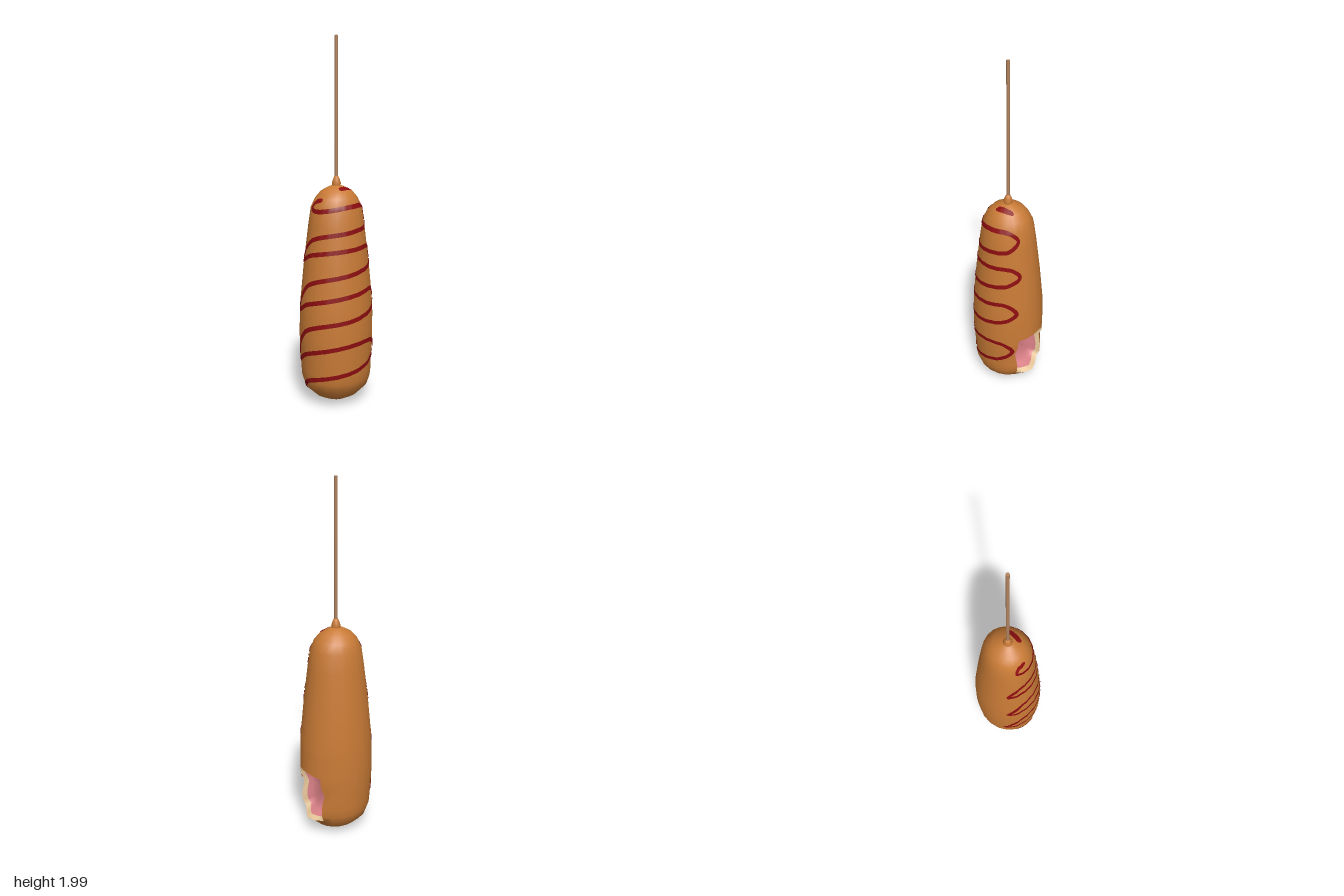
import * as THREE from 'three';

const SIDES = 20, STEP = Math.PI * 2 / SIDES, DEPTH = 0.93;

// Body profile from bottom to top: [y, radius]
const PROFILE = [
  [0.008, 0.001], [0.02, 0.065], [0.05, 0.125], [0.1, 0.178], [0.15, 0.196], [0.2, 0.2],
  [0.28, 0.205], [0.34, 0.208], [0.405, 0.21], [0.5, 0.207], [0.6, 0.202], [0.8, 0.182],
  [1.0, 0.157], [1.1, 0.142], [1.15, 0.118], [1.185, 0.088], [1.21, 0.04], [1.222, 0.001],
];
// Bite opening, as profile rows and side columns
const ROW0 = 3, ROW1 = 8, COL0 = 3, COL1 = 7;

const material = (name, color, side = THREE.FrontSide) => {
  const m = new THREE.MeshStandardMaterial({ color, side });
  m.name = name;
  return m;
};

function meshFrom(name, points, index, mat) {
  const g = new THREE.BufferGeometry().setFromPoints(points);
  g.setIndex(index);
  g.computeVertexNormals();
  const mesh = new THREE.Mesh(g, mat);
  mesh.name = name;
  return mesh;
}

const around = (a, y, r) => new THREE.Vector3(Math.sin(a) * r, y, Math.cos(a) * r * DEPTH);

function radiusAt(y) {
  for (let i = 1; i < PROFILE.length; i++) {
    const [y0, r0] = PROFILE[i - 1], [y1, r1] = PROFILE[i];
    if (y <= y1) return r0 + (r1 - r0) * Math.max(0, (y - y0) / (y1 - y0));
  }
  return 0;
}

// Point just above the many-sided body
function onBody(a, y, lift) {
  const phase = a - Math.floor(a / STEP) * STEP - STEP / 2;
  return around(a, y, radiusAt(y) * Math.cos(STEP / 2) / Math.cos(phase) + lift);
}

// Body vertex, with the edge of the bite made uneven
function bodyPoint(row, col) {
  const [y, r] = PROFILE[row];
  const p = around(col * STEP, y, r);
  const sideEdge = col === COL0 || col === COL1;
  if (sideEdge && row === 6) p.x -= 0.02;
  if (sideEdge && row === ROW1) { p.y -= 0.012; p.z *= 0.94; }
  if (sideEdge && row === ROW0) p.y += 0.015;
  if (col === 5 && row === ROW0) p.x += 0.012;
  if (col === 5 && row === ROW1) p.y += 0.006;
  return p;
}

function buildBody(mat) {
  const points = [], index = [];
  PROFILE.forEach((_, row) => {
    for (let c = 0; c < SIDES; c++) points.push(bodyPoint(row, c));
  });
  for (let row = 0; row < PROFILE.length - 1; row++) {
    for (let c = 0; c < SIDES; c++) {
      if (row >= ROW0 && row < ROW1 && c >= COL0 && c < COL1) continue;
      const n = (c + 1) % SIDES;
      const a = row * SIDES + c, b = row * SIDES + n;
      index.push(a, b, b + SIDES, a, b + SIDES, a + SIDES);
    }
  }
  return meshFrom('batterBody', points, index, mat);
}

// Outline of the bite, counter-clockwise seen from +x
function biteOutline() {
  const loop = [];
  for (let c = COL1; c > COL0; c--) loop.push(bodyPoint(ROW0, c));
  for (let r = ROW0; r < ROW1; r++) loop.push(bodyPoint(r, COL0));
  for (let c = COL0; c < COL1; c++) loop.push(bodyPoint(ROW1, c));
  for (let r = ROW1; r > ROW0; r--) loop.push(bodyPoint(r, COL1));
  return loop.reverse();
}

// Surface joining a list of equal loops
function loft(name, loops, mat) {
  const n = loops[0].length, index = [];
  for (let k = 0; k < loops.length - 1; k++) {
    for (let i = 0; i < n; i++) {
      const j = (i + 1) % n, a = k * n + i, b = k * n + j;
      index.push(a, a + n, b, b, a + n, b + n);
    }
  }
  return meshFrom(name, loops.flat(), index, mat);
}

function buildBite(cream, pink) {
  const group = new THREE.Group();
  group.name = 'bite';
  const outer = biteOutline();
  const shrink = (s, depth, floor) => outer.map((p) => new THREE.Vector3(
    THREE.MathUtils.lerp(p.x - depth, 0.085, floor), 0.25 + (p.y - 0.25) * s, p.z * s));
  const lip = shrink(0.88, 0.025, 0);
  group.add(loft('batterEdge', [outer, lip], cream));
  group.add(loft('sausageInside',
    [lip, shrink(0.8, 0.03, 0.45), shrink(0.62, 0.03, 0.8), shrink(0.3, 0.03, 0.97), shrink(0.001, 0.03, 1)], pink));
  return group;
}

// Flat ribbon of sauce following [degrees from the front, height] points
function sauceRibbon(name, path, mat, width, samples) {
  const curve = new THREE.CatmullRomCurve3(
    path.map(([d, y]) => new THREE.Vector3(THREE.MathUtils.degToRad(d) * 0.19, y, 0)), false, 'centripetal');
  const points = [], index = [];
  for (let i = 0; i <= samples; i++) {
    const p = curve.getPointAt(i / samples), t = curve.getTangentAt(i / samples);
    const w = width / 2 * Math.min(1, 0.4 + Math.min(i, samples - i) * 0.3);
    for (const s of [-1, 0, 1]) {
      points.push(onBody((p.x + t.y * w * s) / 0.19, p.y - t.x * w * s, 0.003));
    }
    if (i === samples) break;
    for (let k = 0; k < 2; k++) {
      const a = i * 3 + k;
      index.push(a, a + 1, a + 3, a + 1, a + 4, a + 3);
    }
  }
  return meshFrom(name, points, index, mat);
}

export function createModel() {
  const batter = material('fried batter', 0xc97b36);
  const cream = material('batter crumb', 0xecca9c, THREE.DoubleSide);
  const pink = material('sausage pink', 0xd98086, THREE.DoubleSide);
  const sauce = material('red sauce', 0x8c0d10, THREE.DoubleSide);
  const wood = material('stick wood', 0xb38560);

  const model = new THREE.Group();
  model.name = 'friedSausageOnStick';
  model.add(buildBody(batter), buildBite(cream, pink));

  // Zigzag of sauce over the front and its short end at the top
  model.add(sauceRibbon('sauceZigzag', [
    [-75, 1.145], [-98, 1.13], [-105, 1.1], [-90, 1.085],
    [0, 1.11], [42, 1.105], [60, 1.06], [40, 1.0], [0, 0.98], [-90, 0.93],
    [-118, 0.85], [-125, 0.81], [-112, 0.82], [-90, 0.85],
    [0, 0.885], [45, 0.885], [60, 0.84], [40, 0.79], [0, 0.76], [-90, 0.69],
    [-115, 0.59], [-124, 0.54], [-112, 0.545], [-90, 0.585],
    [0, 0.645], [35, 0.655], [52, 0.6], [35, 0.55], [0, 0.515], [-90, 0.44],
    [-122, 0.29], [-130, 0.25], [-115, 0.26], [-90, 0.31],
    [0, 0.375], [30, 0.37], [45, 0.32], [28, 0.26], [0, 0.225], [-90, 0.155],
    [-108, 0.11], [-115, 0.085],
  ], sauce, 0.024, 500));
  model.add(sauceRibbon('sauceTip', [[-25, 1.198], [20, 1.2], [60, 1.192]], sauce, 0.016, 24));

  // Batter collar and wooden stick
  const collar = new THREE.Mesh(new THREE.LatheGeometry(
    [[0.022, 1.21], [0.025, 1.225], [0.019, 1.245], [0.012, 1.262], [0, 1.266]]
      .map(([r, y]) => new THREE.Vector2(r, y)), 12), batter);
  collar.name = 'batterCollar';
  const stick = new THREE.Mesh(new THREE.CylinderGeometry(0.009, 0.009, 0.8, 8), wood);
  stick.name = 'stick';
  stick.position.y = 1.6;
  model.add(collar, stick);
  return model;
}
